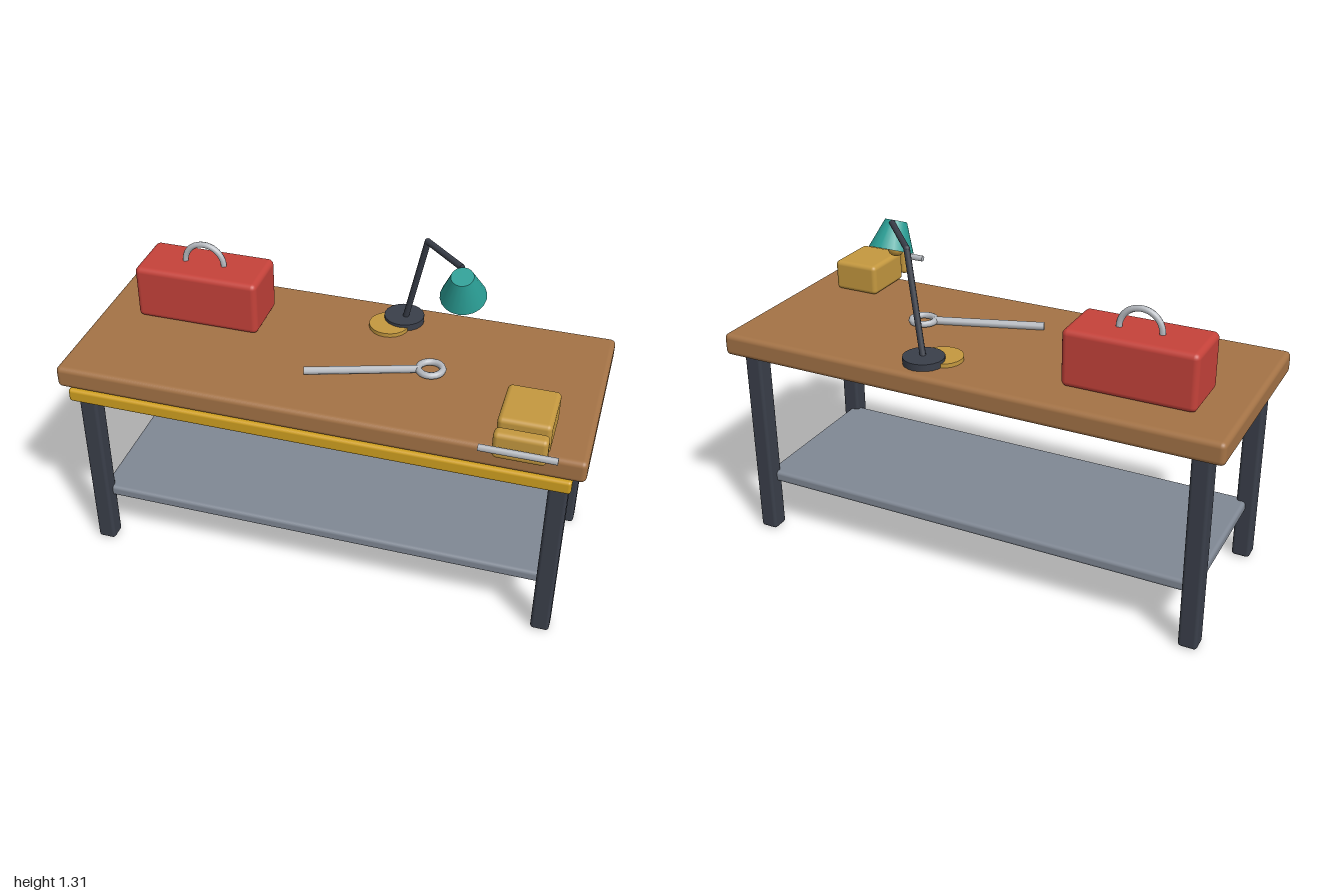
import * as THREE from 'three';
import { RoundedBoxGeometry } from 'three/addons/geometries/RoundedBoxGeometry.js';

const paint = (name, color) => Object.assign(new THREE.MeshStandardMaterial({ color }), { name });

export function createModel() {
  const model = new THREE.Group();
  model.name = 'workbench';

  const wood = paint('wood', 0xa47346);
  const darkSteel = paint('darkSteel', 0x3a3f4a);
  const shelfGrey = paint('shelfGrey', 0x808894);
  const yellow = paint('yellow', 0xd0a020);
  const red = paint('red', 0xc5423a);
  const steel = paint('steel', 0xb8bcc2);
  const teal = paint('teal', 0x2a9d94);
  const brass = paint('brass', 0xc4983f);

  const add = (parent, name, geometry, material, x = 0, y = 0, z = 0) => {
    const mesh = new THREE.Mesh(geometry, material);
    mesh.name = name;
    mesh.position.set(x, y, z);
    parent.add(mesh);
    return mesh;
  };
  const group = (name) => {
    const g = new THREE.Group();
    g.name = name;
    model.add(g);
    return g;
  };
  // Rounded box given by its extents on each axis
  const box = (parent, name, material, [x0, x1], [y0, y1], [z0, z1], radius) =>
    add(parent, name, new RoundedBoxGeometry(x1 - x0, y1 - y0, z1 - z0, 3, radius), material,
      (x0 + x1) / 2, (y0 + y1) / 2, (z0 + z1) / 2);
  // Round rod between two points
  const rod = (parent, name, material, a, b, radius, sides) => {
    const from = new THREE.Vector3(...a), to = new THREE.Vector3(...b);
    const dir = to.clone().sub(from);
    const mesh = add(parent, name, new THREE.CylinderGeometry(radius, radius, dir.length(), sides), material);
    mesh.position.copy(from).add(to).multiplyScalar(0.5);
    mesh.quaternion.setFromUnitVectors(new THREE.Vector3(0, 1, 0), dir.normalize());
    return mesh;
  };

  // Bench: top, legs, shelf and front rail
  const bench = group('bench');
  box(bench, 'tableTop', wood, [-1, 1], [0.787, 0.875], [-0.458, 0.355], 0.02);
  for (const side of [-1, 1]) {
    for (const [name, z] of [['frontLeg', 0.274], ['backLeg', -0.378]]) {
      box(bench, name, darkSteel, [side * 0.908 - 0.036, side * 0.908 + 0.036], [0, 0.79], [z - 0.036, z + 0.036], 0.013);
    }
  }
  box(bench, 'shelf', shelfGrey, [-0.91, 0.91], [0.208, 0.254], [-0.375, 0.272], 0.014);
  box(bench, 'frontRail', yellow, [-0.955, 0.955], [0.733, 0.787], [0.318, 0.361], 0.012);

  // Toolbox with an arched handle
  const toolbox = group('toolbox');
  box(toolbox, 'toolboxBody', red, [-0.845, -0.345], [0.875, 1.094], [-0.305, -0.072], 0.022);
  add(toolbox, 'toolboxHandle', new THREE.TorusGeometry(0.08, 0.012, 8, 20, Math.PI), steel, -0.595, 1.094, -0.19);

  // Desk lamp
  const lamp = group('lamp');
  const elbow = [0.272, 1.28, -0.28];
  add(lamp, 'lampBase', new THREE.CylinderGeometry(0.079, 0.079, 0.027, 20), darkSteel, 0.178, 0.89, -0.345);
  rod(lamp, 'lowerArm', darkSteel, [0.183, 0.89, -0.34], elbow, 0.012, 8);
  rod(lamp, 'upperArm', darkSteel, elbow, [0.44, 1.297, -0.1], 0.012, 8);
  add(lamp, 'armJoint', new THREE.SphereGeometry(0.0125, 10, 8), darkSteel, ...elbow);
  const shade = add(lamp, 'lampShade', new THREE.CylinderGeometry(0.042, 0.086, 0.112, 20), teal, 0.452, 1.237, -0.073);
  shade.rotation.x = 0.4;
  add(lamp, 'bulb', new THREE.SphereGeometry(0.034, 14, 10), brass, 0.45, 1.186, -0.062);

  // Disc lying beside the lamp
  add(model, 'brassDisc', new THREE.CylinderGeometry(0.079, 0.079, 0.016, 20), brass, 0.132, 0.883, -0.286);

  // Ring spanner lying on the top
  const spanner = group('spanner');
  rod(spanner, 'spannerBar', steel, [-0.09, 0.89, 0.122], [0.318, 0.89, -0.014], 0.0155, 8);
  add(spanner, 'spannerRing', new THREE.TorusGeometry(0.046, 0.0135, 8, 20), steel, 0.36, 0.89, -0.027).rotation.x = Math.PI / 2;

  // Bench vise
  const vise = group('vise');
  box(vise, 'viseBody', brass, [0.675, 0.865], [0.877, 1.0], [0.127, 0.35], 0.018);
  box(vise, 'viseJaw', brass, [0.675, 0.865], [0.885, 0.992], [0.373, 0.427], 0.018);
  rod(vise, 'viseHandle', steel, [0.633, 0.94, 0.447], [0.905, 0.94, 0.447], 0.0125, 6);

  return model;
}
